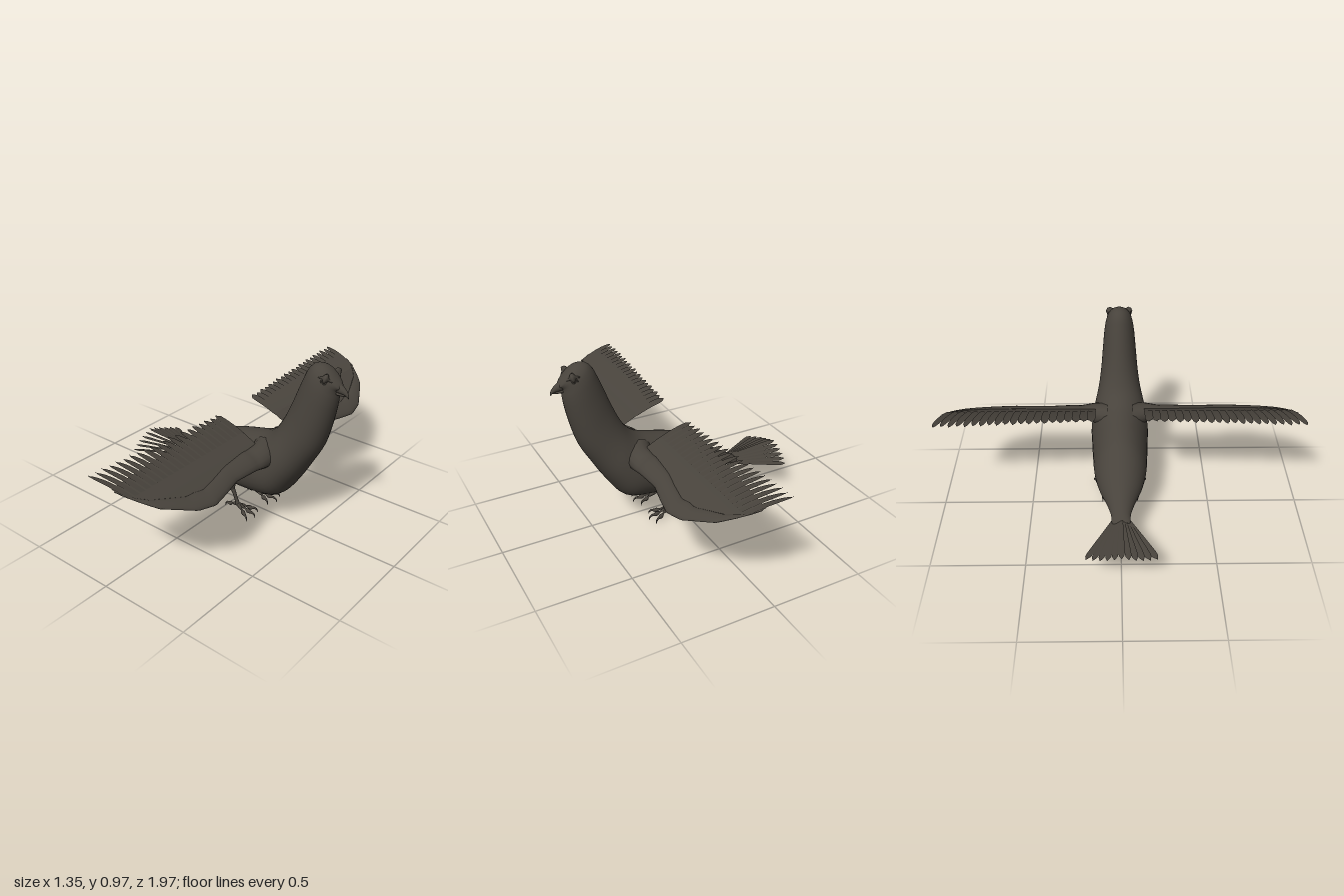
import * as THREE from 'three';

const V = (x, y, z) => new THREE.Vector3(x, y, z);
const lerp = THREE.MathUtils.lerp;

// Grid surface from fn(u, v); closed wraps v, side -1 mirrors across z
function surface(nu, nv, closed, fn, side = 1) {
  const pos = [], idx = [], cols = closed ? nv : nv + 1;
  for (let i = 0; i <= nu; i++) {
    for (let j = 0; j < cols; j++) {
      const p = fn(i / nu, j / nv);
      pos.push(p.x, p.y, p.z * side);
    }
  }
  for (let i = 0; i < nu; i++) {
    for (let j = 0; j < nv; j++) {
      const k = (j + 1) % cols;
      const a = i * cols + j, b = i * cols + k, c = a + cols, d = b + cols;
      if (side > 0) idx.push(a, b, c, b, d, c);
      else idx.push(a, c, b, b, c, d);
    }
  }
  const g = new THREE.BufferGeometry();
  g.setAttribute('position', new THREE.Float32BufferAttribute(pos, 3));
  g.setIndex(idx);
  g.computeVertexNormals();
  return g;
}

// Sections given as [topX, topY, bottomX, bottomY, halfWidth]
function loft(rows, nu, nv, bias) {
  const top = new THREE.CatmullRomCurve3(rows.map(r => V(r[0], r[1], r[4])));
  const low = new THREE.CatmullRomCurve3(rows.map(r => V(r[2], r[3], 0)));
  return surface(nu, nv, true, (u, v) => {
    const t = top.getPoint(u), b = low.getPoint(u), a = v * Math.PI * 2;
    const s = Math.sin(a), k = (Math.cos(a) - bias * (1 - u) * s * s + 1) / 2;
    return V(lerp(b.x, t.x, k), lerp(b.y, t.y, k), s * t.z);
  });
}

// Round limb with a radius at each point
function limb(points, radii, side, nu = 16, nv = 8) {
  const curve = new THREE.CatmullRomCurve3(points.map(p => V(...p)));
  const size = new THREE.CatmullRomCurve3(radii.map(r => V(r, 0, 0)));
  const tangents = [];
  for (let i = 0; i <= nu; i++) tangents.push(curve.getTangent(i / nu));
  return surface(nu, nv, true, (u, v) => {
    const t = tangents[Math.round(u * nu)], a = v * Math.PI * 2;
    const ref = Math.abs(t.z) > 0.9 ? V(1, 0, 0) : V(0, 0, 1);
    const n = ref.addScaledVector(t, -ref.dot(t)).normalize();
    const b = t.clone().cross(n), r = Math.max(size.getPoint(u).x, 0.0005);
    return curve.getPoint(u).addScaledVector(n, Math.cos(a) * r).addScaledVector(b, Math.sin(a) * r);
  }, side);
}

// Piecewise-linear lookup in [key, value] rows
function lookup(rows, k) {
  let i = 1;
  while (i < rows.length - 1 && rows[i][0] < k) i++;
  const [a, b] = [rows[i - 1], rows[i]];
  return lerp(a[1], b[1], THREE.MathUtils.clamp((k - a[0]) / (b[0] - a[0]), 0, 1));
}

const LEAD = [[0.08, 0.33], [0.2, 0.33], [0.4, 0.322], [0.5, 0.343], [0.6, 0.36], [0.7, 0.34],
  [0.8, 0.285], [0.86, 0.25], [0.91, 0.19], [0.95, 0.13], [0.985, 0.05]];
const lead = z => lookup(LEAD, z);
const wingY = x => 0.578 - 0.2 * x - 0.75 * x * x;
const featherWidth = (t, from) => t < from ? 1 : Math.sqrt(Math.max(0, 1 - ((t - from) / (1 - from)) ** 2));

export function createModel() {
  const group = new THREE.Group();
  const plumage = new THREE.MeshStandardMaterial({ color: 0x48433c, side: THREE.DoubleSide });
  plumage.name = 'dark brown plumage';
  const add = (name, geometry, parent = group) => {
    const m = new THREE.Mesh(geometry, plumage);
    m.name = name;
    parent.add(m);
    return m;
  };

  // Body, neck and head as one smooth form
  add('body', loft([
    [-0.40, 0.19, -0.40, 0.185, 0.03], [-0.38, 0.206, -0.38, 0.174, 0.048],
    [-0.33, 0.235, -0.33, 0.172, 0.052], [-0.25, 0.288, -0.26, 0.168, 0.075],
    [-0.15, 0.367, -0.17, 0.155, 0.115], [-0.05, 0.435, -0.06, 0.144, 0.142],
    [0.05, 0.468, 0.08, 0.143, 0.152], [0.14, 0.49, 0.21, 0.15, 0.158],
    [0.22, 0.515, 0.325, 0.178, 0.162], [0.28, 0.56, 0.41, 0.285, 0.148],
    [0.325, 0.63, 0.485, 0.41, 0.122], [0.365, 0.72, 0.545, 0.52, 0.105],
    [0.40, 0.81, 0.585, 0.65, 0.094], [0.43, 0.885, 0.608, 0.76, 0.085],
    [0.455, 0.937, 0.614, 0.81, 0.077], [0.485, 0.965, 0.615, 0.845, 0.067],
    [0.53, 0.97, 0.618, 0.855, 0.055], [0.57, 0.95, 0.625, 0.86, 0.042],
    [0.61, 0.912, 0.635, 0.865, 0.025], [0.628, 0.893, 0.632, 0.885, 0.004],
  ], 76, 32, 0.25));

  // Hooked upper beak and shorter lower beak
  add('upperBeak', loft([
    [0.595, 0.915, 0.595, 0.85, 0.025], [0.625, 0.893, 0.62, 0.845, 0.022],
    [0.65, 0.876, 0.642, 0.843, 0.015], [0.668, 0.856, 0.656, 0.84, 0.009],
    [0.675, 0.838, 0.667, 0.834, 0.005], [0.674, 0.826, 0.673, 0.826, 0.001],
  ], 20, 14, 0));
  add('lowerBeak', loft([
    [0.595, 0.858, 0.595, 0.832, 0.02], [0.63, 0.848, 0.625, 0.832, 0.014],
    [0.652, 0.841, 0.65, 0.833, 0.007], [0.66, 0.837, 0.66, 0.836, 0.001],
  ], 12, 12, 0));

  // Tail fan, arched so the outer feathers sit lower
  const tail = new THREE.Group();
  tail.name = 'tail';
  group.add(tail);
  for (let i = -5; i <= 5; i++) {
    const k = i / 5, tip = V(-0.675 + 0.045 * k * k, 0.222 - 0.05 * Math.abs(k), 0.18 * k);
    const root = V(-0.345, 0.202 - 0.02 * Math.abs(k), 0.035 * k);
    add('tailFeather', surface(12, 4, false, (u, v) => {
      const w = (v - 0.5) * 2, half = lerp(0.009, 0.0175, u) * featherWidth(u, 0.82);
      const p = root.clone().lerp(tip, u);
      return V(p.x + w * half * k * 0.4, p.y - w * w * 0.002 + w * half * 0.2, p.z + w * half);
    }), tail);
  }

  for (const side of [1, -1]) {
    // Wing: smooth vane, thick leading arm and a row of flight feathers
    const wing = new THREE.Group();
    wing.name = side > 0 ? 'nearWing' : 'farWing';
    group.add(wing);
    add('wingVane', surface(48, 14, false, (u, v) => {
      const z = lerp(0.135, 0.965, u), front = lead(z) - 0.004;
      const x = lerp(front, Math.min(lerp(0.0, 0.06, u), front - 0.01), v);
      return V(x, wingY(x) - 0.002, z);
    }, side), wing);

    add('wingArm', surface(48, 14, true, (u, v) => {
      const z = lerp(0.07, 0.97, u), a = v * Math.PI * 2;
      const thick = lookup([[0.07, 0.07], [0.14, 0.058], [0.22, 0.032], [0.4, 0.02], [0.6, 0.017], [0.8, 0.009], [0.97, 0.001]], z);
      const chord = lookup([[0.07, 0.085], [0.14, 0.07], [0.4, 0.05], [0.65, 0.05], [0.85, 0.03], [0.97, 0.002]], z);
      const x = lead(z) - chord * 0.86, drop = lookup([[0.07, 0.045], [0.25, 0.014], [0.6, 0.004], [0.97, 0]], z);
      const c = Math.cos(a) * chord, s = Math.sin(a) * thick;
      return V(x + c * 0.86 + s * 0.5, wingY(x) - drop - c * 0.5 + s * 0.86, z);
    }, side), wing);

    const count = 21;
    for (let i = 0; i < count; i++) {
      const k = i / (count - 1), zTip = lerp(0.155, 0.982, k), zRoot = zTip - 0.055 * k * k;
      const xTip = lerp(-0.02, -0.072, Math.min(1, k * 1.15)) + (i % 2) * 0.006;
      const xRoot = Math.min(0.15, lead(zRoot) - 0.02), half = lerp(0.022, 0.0185, k);
      add('flightFeather', surface(14, 4, false, (u, v) => {
        const w = (v - 0.5) * 2, h = half * featherWidth(u, lerp(0.7, 0.45, k));
        const x = lerp(xRoot, xTip, u);
        return V(x, wingY(x) + w * 0.003, lerp(zRoot, zTip, u) + w * h);
      }, side), wing);
    }

    // Leg with feathered thigh, shank and four clawed toes
    const leg = new THREE.Group();
    leg.name = side > 0 ? 'nearLeg' : 'farLeg';
    group.add(leg);
    add('thigh', limb([[0.0, 0.21, 0.085], [0.015, 0.175, 0.088], [0.032, 0.14, 0.09], [0.045, 0.115, 0.09]],
      [0.03, 0.042, 0.026, 0.009], side, 14, 12), leg);
    add('shank', limb([[0.03, 0.14, 0.09], [0.05, 0.11, 0.09], [0.065, 0.07, 0.089], [0.078, 0.035, 0.088]],
      [0.014, 0.011, 0.0095, 0.013], side), leg);
    const toes = [[0.128, 0.012], [0.112, 0.065], [0.105, -0.042], [-0.078, 0.012]];
    for (const [dx, dz] of toes) {
      const at = (t, y) => [0.078 + dx * t, y, 0.088 + dz * t];
      add('toe', limb([at(0, 0.036), at(0.35, 0.035), at(0.68, 0.027), at(0.84, 0.029), at(0.95, 0.022), at(1, 0.005)],
        [0.011, 0.0085, 0.0085, 0.006, 0.004, 0.001], side, 18), leg);
    }

    // Eye, eyelid ring and brow ridge
    const eye = add(side > 0 ? 'nearEye' : 'farEye', new THREE.SphereGeometry(0.015, 16, 12));
    eye.position.set(0.568, 0.902, 0.05 * side);
    const lid = add('eyelid', new THREE.TorusGeometry(0.017, 0.0035, 8, 24));
    lid.position.set(0.569, 0.902, 0.056 * side);
    lid.rotation.y = 0.5 * side;
    add('brow', limb([[0.535, 0.922, 0.064], [0.56, 0.925, 0.056], [0.585, 0.917, 0.046], [0.607, 0.9, 0.032]],
      [0.001, 0.007, 0.007, 0.001], side));
  }
  return group;
}
